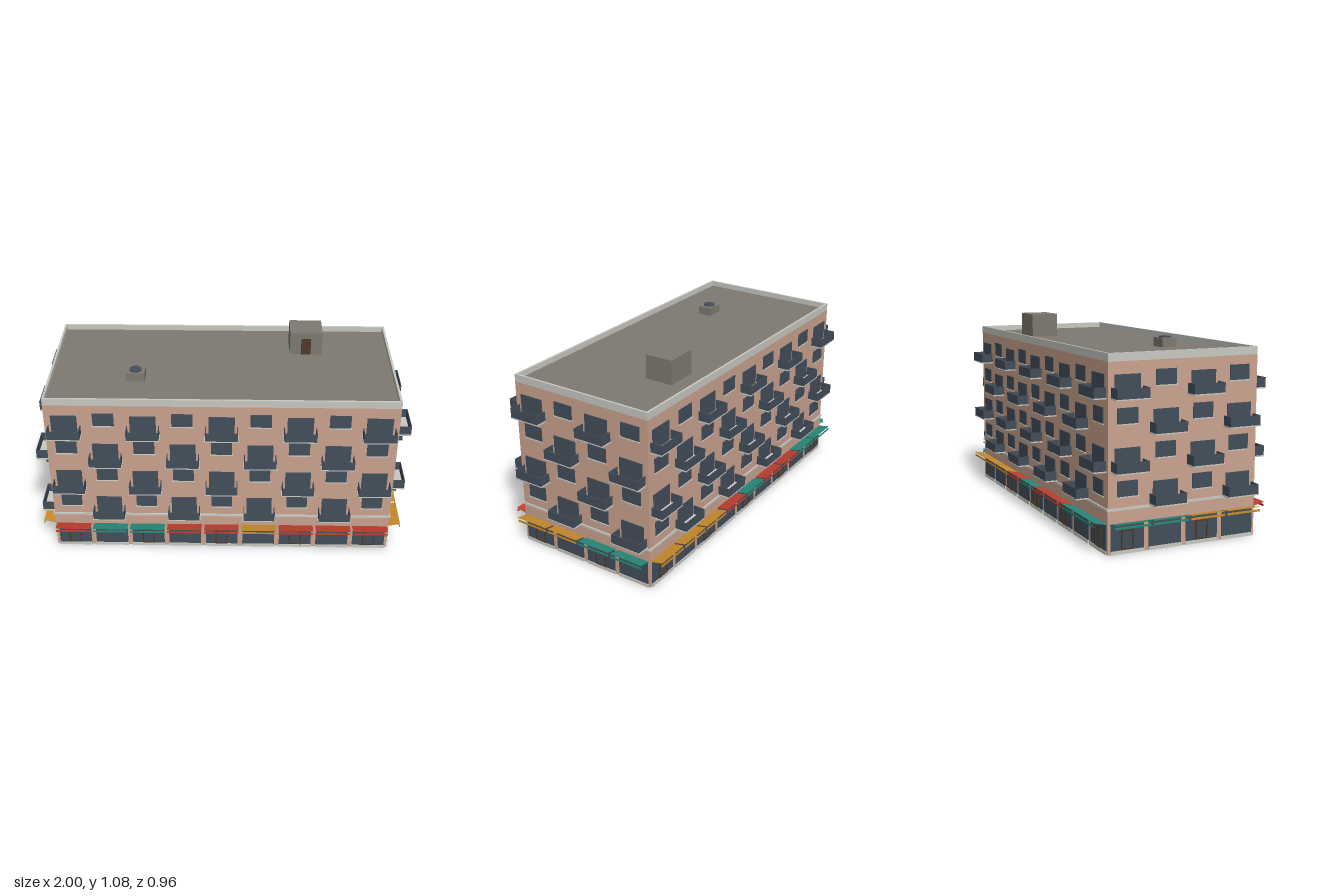
import * as THREE from 'three';

const material = (name, color) => {
  const m = new THREE.MeshStandardMaterial({ color });
  m.name = name;
  return m;
};

const HALF_X = 0.932, HALF_Z = 0.414; // wall planes
const BAY = 0.207, FLOOR = 0.1765;

export function createModel() {
  const wall = material('terracotta wall', 0xcca490);
  const pale = material('pale stone', 0xcacac4);
  const roofGrey = material('roof grey', 0x7f7b72);
  const glass = material('dark glass', 0x434f5c);
  const wood = material('brown wood', 0x4e3a2a);
  const awningColours = {
    R: material('red canvas', 0xc0402f),
    T: material('teal canvas', 0x2a8a7c),
    Y: material('yellow canvas', 0xcb8d2c),
  };

  const model = new THREE.Group();
  model.name = 'apartmentBlock';

  // Box given by centre x, bottom y, back z and its size
  const box = (parent, name, mat, x, y, z, w, h, d) => {
    const mesh = new THREE.Mesh(new THREE.BoxGeometry(w, h, d), mat);
    mesh.name = name;
    mesh.position.set(x, y + h / 2, z + d / 2);
    parent.add(mesh);
    return mesh;
  };
  const group = (parent, name, x, y) => {
    const g = new THREE.Group();
    g.name = name;
    g.position.set(x, y, 0);
    parent.add(g);
    return g;
  };

  // Balcony with glazed door, slab and three railing panels
  function addBalcony(parent, x, y) {
    const g = group(parent, 'balcony', x, y);
    box(g, 'balconyDoor', glass, 0, 0.006, 0, 0.138, 0.11, 0.004);
    box(g, 'balconySlab', pale, 0, 0, 0, 0.18, 0.006, 0.067);
    box(g, 'frontRailing', glass, 0, 0.006, 0.062, 0.172, 0.05, 0.004);
    for (const s of [-1, 1])
      box(g, 'sideRailing', glass, s * 0.084, 0.006, 0, 0.004, 0.05, 0.062);
  }

  // Window with a projecting sill
  function addWindow(parent, x, y) {
    const g = group(parent, 'window', x, y);
    box(g, 'windowPane', glass, 0, 0.055, 0, 0.112, 0.077, 0.004);
    box(g, 'windowSill', pale, 0, 0.05, 0, 0.12, 0.005, 0.008);
  }

  // Shop front with plinth, awning and, in every second bay, a door frame
  function addShop(parent, x, canvas, hasDoor) {
    const g = group(parent, 'shop', x, 0);
    box(g, 'shopWindow', glass, 0, 0.018, 0, 0.18, 0.134, 0.004);
    box(g, 'shopPlinth', pale, 0, 0, 0, 0.184, 0.018, 0.007);
    if (hasDoor) {
      for (const s of [-1, 1])
        box(g, 'doorPost', wood, s * 0.031, 0.02, 0.004, 0.007, 0.1, 0.004);
      box(g, 'doorHead', wood, 0, 0.112, 0.004, 0.069, 0.008, 0.004);
      box(g, 'doorFoot', wood, 0, 0.02, 0.004, 0.069, 0.007, 0.004);
    }
    const awning = box(g, 'awning', canvas, 0, 0.157, 0, 0.192, 0.003, 0.068);
    awning.rotation.x = -Math.atan2(0.015, 0.068);
    box(g, 'awningValance', canvas, 0, 0.142, 0.065, 0.192, 0.011, 0.003);
  }

  // One facade in its own frame: bays run left to right, z points outward
  function addFacade(name, angle, offset, awnings) {
    const g = new THREE.Group();
    g.name = name;
    g.rotation.y = angle;
    g.position.set(Math.sin(angle) * offset, 0, Math.cos(angle) * offset);
    [...awnings].forEach((key, i) => {
      const x = (i - (awnings.length - 1) / 2) * BAY;
      addShop(g, x, awningColours[key], i % 2 === 0);
      for (let f = 0; f < 4; f++) {
        const y = 0.228 + f * FLOOR;
        if ((i + f) % 2 === 1) addBalcony(g, x, y);
        else addWindow(g, x, y);
      }
    });
    model.add(g);
  }

  // Main volume, string course and flat roof
  const centred = (name, mat, y, hx, hz, h) =>
    box(model, name, mat, 0, y, -hz, hx * 2, h, hz * 2);
  centred('walls', wall, 0, HALF_X, HALF_Z, 0.935);
  centred('stringCourse', pale, 0.217, HALF_X + 0.007, HALF_Z + 0.007, 0.012);
  centred('roof', roofGrey, 0.935, HALF_X - 0.01, HALF_Z - 0.01, 0.01);

  // Parapet ring
  for (const s of [-1, 1]) {
    box(model, 'parapetLong', pale, 0, 0.935, s * (HALF_Z - 0.006) - 0.006, HALF_X * 2, 0.04, 0.012);
    box(model, 'parapetShort', pale, s * (HALF_X - 0.006), 0.935, -HALF_Z + 0.012, 0.012, 0.04, HALF_Z * 2 - 0.024);
  }

  addFacade('frontFacade', 0, HALF_Z, 'RTTRRYRRR');
  addFacade('leftFacade', Math.PI / 2, HALF_X, 'YYTT');
  addFacade('backFacade', Math.PI, HALF_Z, 'YYYRTRRTT');
  addFacade('rightFacade', -Math.PI / 2, HALF_X, 'TTYY');

  // Stair housing on the roof
  box(model, 'stairHousing', roofGrey, 0.462, 0.945, -0.287, 0.18, 0.132, 0.156);
  box(model, 'stairDoor', wood, 0.462, 0.945, -0.131, 0.054, 0.098, 0.005);

  // Roof vent with round fan
  box(model, 'ventBox', roofGrey, -0.468, 0.945, 0.099, 0.102, 0.049, 0.082);
  const fan = new THREE.Mesh(new THREE.CylinderGeometry(0.032, 0.032, 0.007, 16), glass);
  fan.name = 'ventFan';
  fan.position.set(-0.468, 0.9975, 0.14);
  model.add(fan);

  return model;
}
